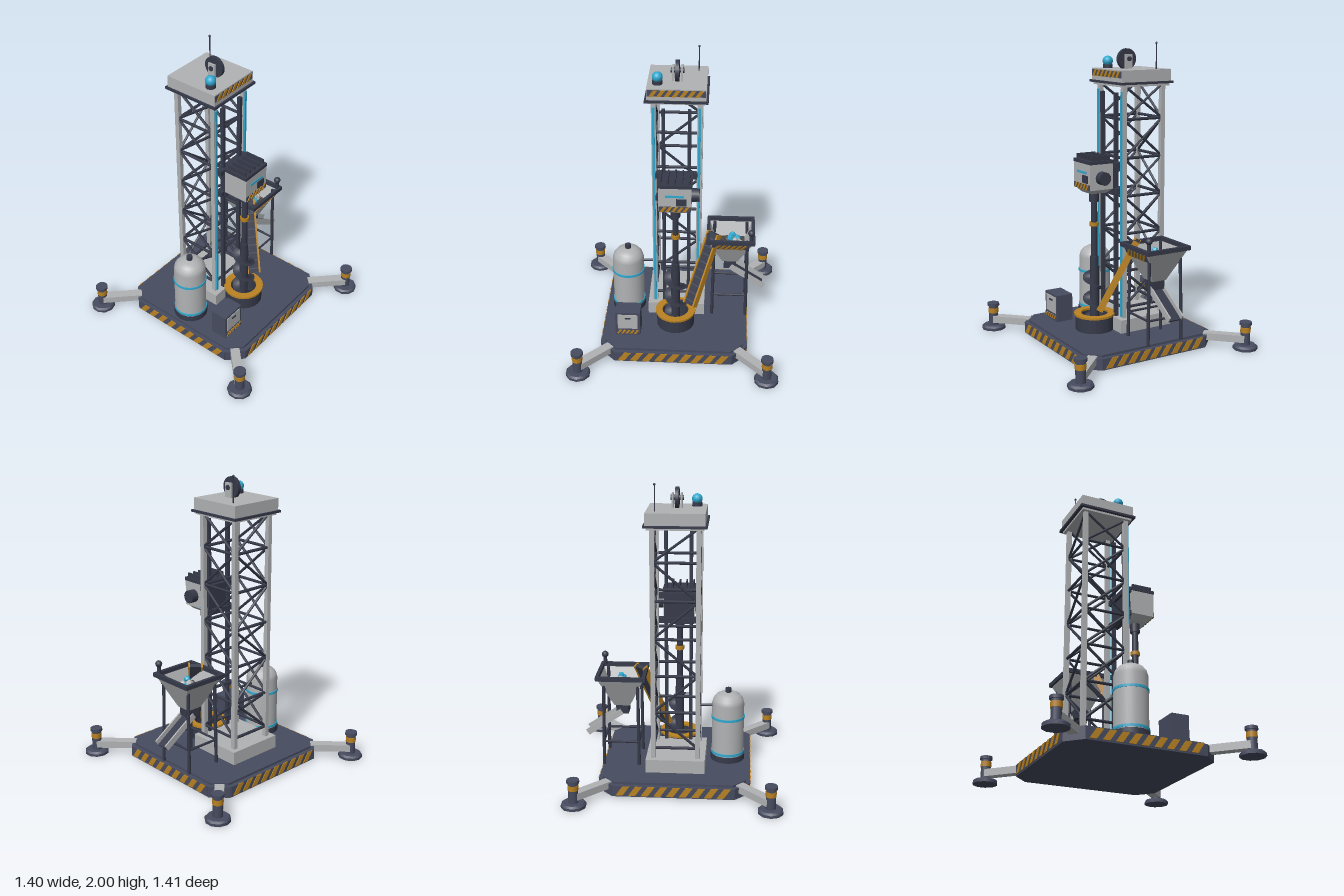
import * as THREE from 'three';
import { ParametricGeometry } from 'three/addons/geometries/ParametricGeometry.js';

const mat = (name, color, side = THREE.FrontSide) => {
  const m = new THREE.MeshStandardMaterial({ color, side });
  m.name = name;
  return m;
};

export function createModel() {
  const model = new THREE.Group();
  model.name = 'drillingRig';
  const slate = mat('slate', 0x464b5f);
  const frame = mat('darkFrame', 0x363a49, THREE.DoubleSide);
  const grey = mat('lightGrey', 0xb0b2b4, THREE.DoubleSide);
  const gold = mat('hazardGold', 0xb98222);
  const cyan = mat('cyan', 0x30a9d0);
  const soil = mat('soil', 0x4a4846);
  const V = (x, y, z) => new THREE.Vector3(x, y, z);

  const add = (name, geo, m, x = 0, y = 0, z = 0, parent = model) => {
    const mesh = new THREE.Mesh(geo, m);
    mesh.name = name;
    mesh.position.set(x, y, z);
    parent.add(mesh);
    return mesh;
  };
  // box given by its limits on each axis
  const box = (name, m, x0, x1, y0, y1, z0, z1, parent) =>
    add(name, new THREE.BoxGeometry(x1 - x0, y1 - y0, z1 - z0), m, (x0 + x1) / 2, (y0 + y1) / 2, (z0 + z1) / 2, parent);
  const cyl = (name, m, r, y0, y1, x, z, n = 20, rTop = r) =>
    add(name, new THREE.CylinderGeometry(rTop, r, y1 - y0, n), m, x, (y0 + y1) / 2, z);
  // round bar between two points
  const bar = (name, m, a, b, r, n = 6) => {
    const mesh = add(name, new THREE.CylinderGeometry(r, r, a.distanceTo(b), n), m);
    mesh.position.copy(a).lerp(b, 0.5);
    mesh.quaternion.setFromUnitVectors(V(0, 1, 0), b.clone().sub(a).normalize());
    return mesh;
  };
  // thin striped plate facing +z
  const hazard = (name, w, h, n, x, y, z, parent = model) => {
    const g = new THREE.Group();
    g.name = name;
    g.position.set(x, y, z);
    add('stripeBacking', new THREE.BoxGeometry(w, h, 0.004), slate, 0, 0, 0, g);
    const shapes = [], lean = h * 0.7, pitch = (w - lean) / n, sw = pitch * 0.55;
    for (let i = 0; i < n; i++) {
      const s = -w / 2 + pitch * (i + 0.22);
      shapes.push(new THREE.Shape([[s, -h / 2], [s + sw, -h / 2], [s + sw + lean, h / 2], [s + lean, h / 2]]
        .map(p => new THREE.Vector2(...p))));
    }
    add('stripes', new THREE.ExtrudeGeometry(shapes, { depth: 0.006, bevelEnabled: false }), gold, 0, 0, 0, g);
    parent.add(g);
    return g;
  };

  // chamfered platform
  const slab = (name, h, c, y0, y1) => {
    const pts = [[h, -c], [h, c], [c, h], [-c, h], [-h, c], [-h, -c], [-c, -h], [c, -h]];
    const geo = new THREE.ExtrudeGeometry(new THREE.Shape(pts.map(p => new THREE.Vector2(...p))),
      { depth: y1 - y0, bevelEnabled: false }).rotateX(-Math.PI / 2);
    add(name, geo, slate, 0, y0, 0);
  };
  slab('platformBase', 0.493, 0.395, 0.01, 0.085);
  slab('platformDeck', 0.468, 0.385, 0.085, 0.1);
  for (let i = 0; i < 4; i++) {
    const side = new THREE.Group();
    side.name = 'platformStripe';
    side.rotation.y = i * Math.PI / 2;
    hazard('hazardPlate', 0.78, 0.065, 9, 0, 0.052, 0.494, side);
    model.add(side);
  }

  // outriggers with levelling jacks
  for (const sx of [-1, 1]) for (const sz of [-1, 1]) {
    const x = 0.624 * sx, z = 0.624 * sz;
    const arm = add('outriggerArm', new THREE.BoxGeometry(0.062, 0.048, 0.31), grey, 0.515 * sx, 0.07, 0.515 * sz);
    arm.rotation.y = Math.atan2(sx, sz);
    cyl('footPad', slate, 0.082, 0, 0.018, x, z, 10);
    cyl('footPadTop', slate, 0.082, 0.018, 0.03, x, z, 10, 0.07);
    cyl('jackColumn', slate, 0.032, 0.03, 0.17, x, z, 14);
    cyl('jackBand', gold, 0.035, 0.115, 0.15, x, z, 14);
    cyl('jackCap', slate, 0.041, 0.165, 0.185, x, z, 14);
  }

  // lattice tower
  const tz = -0.12, th = 0.146;
  box('towerFoot', grey, -0.195, 0.195, 0.1, 0.19, tz - 0.195, tz + 0.195);
  for (const sx of [-1, 1]) {
    for (const sz of [-1, 1]) box('towerPost', grey, sx * th - 0.015, sx * th + 0.015, 0.19, 1.73, tz + sz * th - 0.015, tz + sz * th + 0.015);
    box('lightStrip', cyan, sx * 0.146 - 0.008, sx * 0.146 + 0.008, 0.2, 1.69, 0.04, 0.049);
    box('guideRail', frame, sx * 0.083 - 0.011, sx * 0.083 + 0.011, 0.19, 1.68, 0.035, 0.06);
  }
  const f = tz + th, b = tz - th;
  for (let i = 0; i < 6; i++) {
    const y0 = 0.26 + i * 0.25, y1 = Math.min(y0 + 0.25, 1.73);
    for (const z of [f, b]) bar('crossRung', frame, V(-th, y0, z), V(th, y0, z), 0.01);
    for (const x of [-th, th]) {
      bar('sideRung', frame, V(x, y0, f), V(x, y0, b), 0.01);
      bar('sideBrace', frame, V(x, y0, f), V(x, y1, b), 0.009);
      bar('sideBrace', frame, V(x, y0, b), V(x, y1, f), 0.009);
    }
    const s = i % 2 ? 1 : -1;
    bar('backBrace', frame, V(s * th, y0, b), V(-s * th, y1, b), 0.009);
  }

  // tower head with pulley, beacon and antenna
  box('headSkirt', grey, -0.18, 0.18, 1.72, 1.74, tz - 0.18, tz + 0.18);
  box('headFlange', frame, -0.2, 0.2, 1.735, 1.75, tz - 0.2, tz + 0.2);
  box('headCap', grey, -0.187, 0.187, 1.75, 1.826, tz - 0.187, tz + 0.187);
  hazard('headStripe', 0.365, 0.042, 7, 0, 1.798, tz + 0.188);
  const wheel = add('pulleyWheel', new THREE.CylinderGeometry(0.068, 0.068, 0.024, 24), frame, 0, 1.888, -0.083);
  wheel.rotation.z = Math.PI / 2;
  for (const s of [-1, 1]) box('pulleyBracket', grey, s * 0.028 - 0.006, s * 0.028 + 0.006, 1.826, 1.92, -0.11, -0.056);
  bar('pulleyAxle', frame, V(-0.042, 1.89, -0.083), V(0.042, 1.89, -0.083), 0.016, 10);
  cyl('beaconBase', frame, 0.032, 1.826, 1.85, -0.122, -0.015);
  add('beacon', new THREE.SphereGeometry(0.034, 18, 12), cyan, -0.122, 1.872, -0.015);
  cyl('antenna', frame, 0.004, 1.826, 1.99, 0.13, -0.23, 6);
  add('antennaTip', new THREE.SphereGeometry(0.008, 8, 6), frame, 0.13, 1.992, -0.23);

  // drill collar: open tube with a gold rim
  const dz = 0.165;
  const tube = (name, m, pts) => add(name, new THREE.LatheGeometry(pts.map(p => new THREE.Vector2(...p)), 28).toNonIndexed(), m, 0, 0, dz).geometry.computeVertexNormals();
  tube('boreCollar', frame, [[0.128, 0.1], [0.128, 0.2], [0.085, 0.2], [0.085, 0.11], [0, 0.11]]);
  tube('collarRim', gold, [[0.09, 0.198], [0.137, 0.198], [0.137, 0.212], [0.09, 0.212], [0.09, 0.198]]);

  // drill string and auger
  cyl('drillRod', frame, 0.021, 0.11, 1.05, 0, dz, 14);
  cyl('augerCore', frame, 0.03, 0.11, 0.53, 0, dz, 14);
  cyl('rodJoint', frame, 0.028, 0.53, 0.6, 0, dz, 14);
  cyl('rodBand', gold, 0.03, 0.805, 0.832, 0, dz, 14);
  cyl('chuck', frame, 0.032, 0.97, 1.04, 0, dz, 14);
  const flight = new ParametricGeometry((u, v, p) => {
    const a = u * Math.PI * 2 * 2.75, r = 0.02 + v * 0.057;
    p.set(Math.cos(a) * r, 0.12 + u * 0.4, Math.sin(a) * r);
  }, 80, 1);
  add('augerFlight', flight, frame, 0, 0, dz);
  add('augerFlightLower', flight, frame, 0, -0.009, dz);

  // drill head on its carriage
  box('carriage', frame, -0.1, 0.1, 1.02, 1.235, 0.05, 0.085);
  for (const y of [1.03, 1.2]) box('carriageShoe', frame, -0.135, 0.135, y, y + 0.035, 0.03, 0.075);
  box('headHousing', grey, -0.105, 0.105, 1.062, 1.235, 0.083, 0.254);
  const neck = new THREE.CylinderGeometry(0.098 * Math.SQRT2, 0.065 * Math.SQRT2, 0.03, 4, 1).rotateY(Math.PI / 4).toNonIndexed();
  neck.computeVertexNormals();
  add('headNeck', neck, grey, 0, 1.047, dz).scale.z = 0.85;
  box('headLid', frame, -0.11, 0.11, 1.23, 1.252, 0.08, 0.256);
  for (let i = 0; i < 5; i++) box('coolingFin', frame, -0.097 + i * 0.046, -0.087 + i * 0.046, 1.25, 1.282, 0.1, 0.24);
  hazard('headHazard', 0.206, 0.036, 5, 0, 1.08, 0.2545);
  box('headLight', cyan, -0.06, 0.06, 1.165, 1.18, 0.25, 0.258);
  box('headHatch', frame, 0.01, 0.075, 1.105, 1.155, 0.25, 0.259);
  bar('motor', frame, V(0.1, 1.14, 0.17), V(0.155, 1.14, 0.17), 0.043, 18);

  // pressure tank
  const tx = -0.34, kz = -0.035;
  cyl('tankBase', frame, 0.115, 0.1, 0.14, tx, kz, 24);
  const dome = [[0.108, 0.13], [0.108, 0.5], [0.1, 0.53], [0.08, 0.556], [0.05, 0.572], [0, 0.578]];
  add('tankBody', new THREE.LatheGeometry(dome.map(p => new THREE.Vector2(...p)), 28), grey, tx, 0, kz);
  for (const y of [0.155, 0.405]) cyl('tankBand', cyan, 0.113, y - 0.008, y + 0.008, tx, kz, 28);
  cyl('tankValve', frame, 0.02, 0.57, 0.605, tx, kz, 12);
  bar('tankPipe', frame, V(-0.25, 0.478, kz), V(-0.13, 0.478, kz), 0.009, 8);

  // control cabinet
  box('cabinet', slate, -0.402, -0.232, 0.1, 0.285, 0.207, 0.325);
  box('cabinetDoor', grey, -0.385, -0.25, 0.155, 0.27, 0.32, 0.329);
  box('doorHandle', frame, -0.335, -0.295, 0.236, 0.248, 0.322, 0.333);
  hazard('cabinetStripe', 0.165, 0.028, 5, -0.317, 0.128, 0.3265);

  // ore hopper
  const hx = 0.367, hz = -0.073;
  const funnel = new THREE.CylinderGeometry(0.152 * Math.SQRT2, 0.052 * Math.SQRT2, 0.215, 4, 1, true).rotateY(Math.PI / 4).toNonIndexed();
  funnel.computeVertexNormals();
  add('hopperFunnel', funnel, grey, hx, 0.603, hz);
  for (const s of [-1, 1]) {
    box('hopperRim', frame, hx - 0.163, hx + 0.163, 0.702, 0.73, hz + s * 0.153 - 0.011, hz + s * 0.153 + 0.011);
    box('hopperRim', frame, hx + s * 0.153 - 0.011, hx + s * 0.153 + 0.011, 0.702, 0.73, hz - 0.15, hz + 0.15);
  }
  hazard('hopperStripe', 0.25, 0.055, 6, hx, 0.675, hz + 0.141).rotation.x = Math.atan2(0.1, 0.215);
  box('oreBed', soil, hx - 0.097, hx + 0.097, 0.6, 0.61, hz - 0.097, hz + 0.097);
  for (let i = 0; i < 11; i++) {
    const a = i * 2.4, r = 0.016 * Math.sqrt(i);
    const rock = add('oreChunk', new THREE.IcosahedronGeometry(0.023 + (i % 3) * 0.004, 0), i % 5 < 2 ? cyan : i % 5 === 4 ? soil : grey,
      0.378 + Math.cos(a) * r, 0.69 - r * 1.2, -0.066 + Math.sin(a) * r);
    rock.rotation.set(a, i, 0);
  }
  for (const sx of [-1, 1]) {
    for (const sz of [-1, 1])
      bar('hopperLeg', frame, V(hx + sx * 0.118, 0.1, hz + sz * 0.128), V(hx + sx * 0.112, 0.71, hz + sz * 0.118), 0.011, 8);
    bar('legRung', frame, V(hx + sx * 0.117, 0.265, hz - 0.126), V(hx + sx * 0.117, 0.265, hz + 0.126), 0.008);
    bar('legRung', frame, V(hx - 0.117, 0.265, hz + sx * 0.126), V(hx + 0.117, 0.265, hz + sx * 0.126), 0.008);
  }
  box('hopperSpout', frame, hx - 0.042, hx + 0.042, 0.435, 0.505, hz - 0.047, hz + 0.047);
  cyl('lampPost', frame, 0.013, 0.72, 0.78, 0.503, 0.065, 10);
  add('lamp', new THREE.SphereGeometry(0.023, 14, 10), frame, 0.503, 0.79, 0.065);

  // sloping group whose z axis runs from a to b
  const incline = (name, a, b) => {
    const g = new THREE.Group();
    g.name = name;
    g.position.copy(a).lerp(b, 0.5);
    g.lookAt(b);
    model.add(g);
    return [g, a.distanceTo(b) / 2];
  };
  const [chute, cl] = incline('dischargeChute', V(0.37, 0.45, hz), V(0.605, 0.292, hz));
  box('chuteFloor', frame, -0.046, 0.046, -0.018, -0.008, -cl, cl, chute);
  for (const s of [-1, 1]) box('chuteWall', grey, s * 0.048 - 0.005, s * 0.048 + 0.005, -0.02, 0.022, -cl, cl, chute);

  // conveyor from the collar up to the hopper
  const [conveyor, vl] = incline('conveyor', V(0.1, 0.26, 0.175), V(0.255, 0.735, -0.01));
  box('conveyorBelt', frame, -0.038, 0.038, -0.016, 0.012, -vl, vl, conveyor);
  for (const s of [-1, 1]) box('conveyorRail', gold, s * 0.042 - 0.006, s * 0.042 + 0.006, -0.02, 0.024, -vl, vl, conveyor);
  for (let i = 0; i < 9; i++) box('beltCleat', slate, -0.035, 0.035, 0.012, 0.019, -vl + 0.03 + i * 0.057, -vl + 0.038 + i * 0.057, conveyor);

  return model;
}
